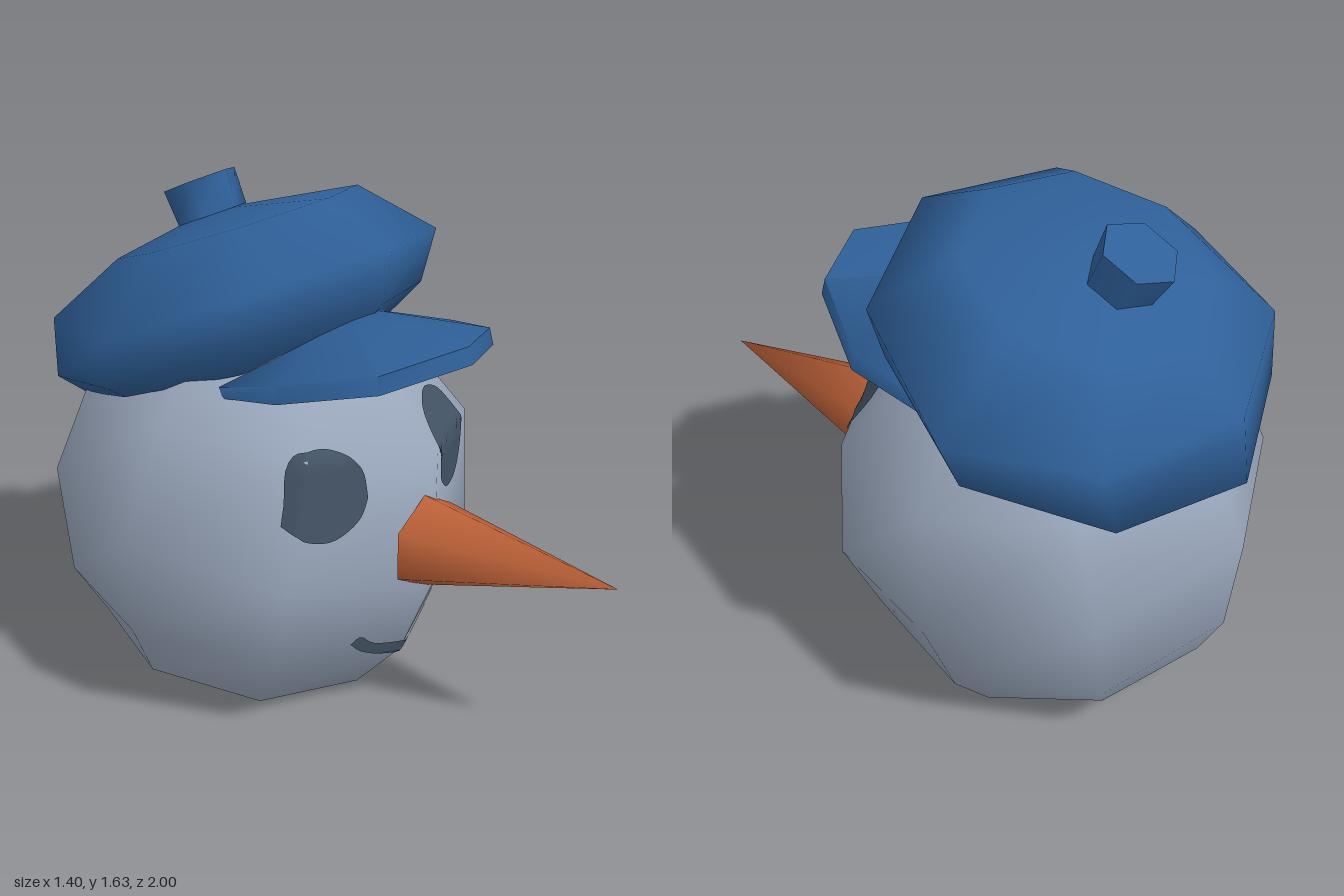
import * as THREE from 'three';
import { toCreasedNormals } from 'three/addons/utils/BufferGeometryUtils.js';

const V = (x, y, z) => new THREE.Vector3(x, y, z);

function material(name, color) {
  const m = new THREE.MeshStandardMaterial({ color, side: THREE.DoubleSide });
  m.name = name;
  return m;
}

// Skin over rows of points; closed rows wrap around.
function skin(rows, closed, crease = Math.PI) {
  const n = rows[0].length, index = [];
  for (let i = 0; i < rows.length - 1; i++) {
    for (let j = 0; j < (closed ? n : n - 1); j++) {
      const k = (j + 1) % n;
      const a = i * n + j, b = i * n + k, c = b + n, d = a + n;
      index.push(a, b, c, a, c, d);
    }
  }
  const g = new THREE.BufferGeometry().setFromPoints(rows.flat());
  g.setIndex(index);
  return toCreasedNormals(g, crease);
}

// Tilted ring, described by its front and back points [y, z] and half width.
function ring(sides, cx, rx, front, back, roll = 0, sag = 0) {
  return Array.from({ length: sides }, (_, i) => {
    const a = i / sides * Math.PI * 2, s = Math.sin(a), t = (1 + Math.cos(a)) / 2;
    return V(cx + rx * s,
      THREE.MathUtils.lerp(back[0], front[0], t) + roll * s - sag * s ** 4,
      THREE.MathUtils.lerp(back[1], front[1], t));
  });
}

const point = (n, x, y, z) => Array.from({ length: n }, () => V(x, y, z));

// Painted shape between two outlines, laid on both faces of a surface.
function decal(target, top, bottom) {
  const [up, low] = [top, bottom].map(
    pts => new THREE.SplineCurve(pts.map(p => new THREE.Vector2(...p))).getPoints(28));
  const caster = new THREE.Raycaster();
  return [0.006, -0.006].map(offset => {
    const rows = [];
    for (let r = 0; r <= 10; r++) {
      rows.push(low.map((p, i) => {
        const q = p.clone().lerp(up[i], r / 10);
        caster.set(V(q.x, q.y, 3), V(0, 0, -1));
        const hit = caster.intersectObject(target)[0];
        return hit.point.clone().addScaledVector(hit.face.normal, offset);
      }));
    }
    return skin(rows, false);
  });
}

export function createModel() {
  const model = new THREE.Group();
  const grey = material('blue grey', 0x9ba8bd);
  const dark = material('dark slate', 0x435365);
  const blue = material('cap blue', 0x2f6099);
  const orange = material('carrot orange', 0xbf6239);
  const add = (name, geometry, mat) => {
    const mesh = new THREE.Mesh(geometry, mat);
    mesh.name = name;
    model.add(mesh);
    return mesh;
  };

  // Hollow head, open underneath
  const head = add('head', skin([
    ring(8, -0.04, 0.48, [0, 0.07], [0.18, -0.87], -0.015),
    ring(8, -0.065, 0.6, [0.2, 0.26], [0.31, -0.94], -0.08),
    ring(8, -0.015, 0.685, [0.45, 0.35], [0.68, -1], -0.085),
    ring(8, 0.025, 0.6, [0.87, 0.33], [1.0, -0.89], -0.075),
    ring(8, 0.03, 0.38, [1.14, 0.08], [1.24, -0.58], -0.04),
    point(8, 0.04, 1.27, -0.24),
  ], true), grey);
  head.updateMatrixWorld();

  // Eyes and mouth
  const marks = {
    rightEye: [
      [[-0.47, 0.75], [-0.455, 0.81], [-0.42, 0.945], [-0.35, 0.965], [-0.28, 0.94], [-0.23, 0.88], [-0.22, 0.79]],
      [[-0.47, 0.75], [-0.44, 0.705], [-0.37, 0.68], [-0.31, 0.69], [-0.25, 0.73], [-0.22, 0.79]]],
    leftEye: [
      [[0.05, 0.83], [0.055, 0.9], [0.1, 0.96], [0.17, 0.985], [0.24, 0.98], [0.32, 0.94], [0.37, 0.85]],
      [[0.05, 0.83], [0.055, 0.77], [0.13, 0.71], [0.22, 0.69], [0.3, 0.71], [0.35, 0.77], [0.37, 0.85]]],
    mouth: [
      [[-0.25, 0.28], [-0.22, 0.3], [-0.16, 0.257], [-0.03, 0.235], [0.09, 0.255], [0.17, 0.3], [0.2, 0.285]],
      [[-0.25, 0.28], [-0.2, 0.235], [-0.11, 0.2], [-0.02, 0.185], [0.09, 0.2], [0.17, 0.24], [0.2, 0.285]]],
  };
  for (const [name, [top, bottom]] of Object.entries(marks)) {
    decal(head, top, bottom).forEach((g, i) => add(name + (i ? 'Inside' : ''), g, dark));
  }

  // Six-sided carrot nose
  const noseBase = Array.from({ length: 6 }, (_, i) => {
    const a = Math.PI / 6 + i * Math.PI / 3;
    return V(-0.027 + 0.165 * Math.cos(a), 0.59 + 0.156 * Math.sin(a), 0.32);
  });
  add('nose', skin([noseBase, point(6, -0.02, 0.63, 1)], true), orange);

  // Slouched cap crown
  add('capCrown', skin([
    ring(8, 0, 0.53, [1.17, 0], [0.88, -0.9], -0.025),
    ring(8, 0.01, 0.63, [1.32, 0.13], [0.94, -1], -0.02, 0.04),
    ring(8, 0.02, 0.68, [1.5, 0.155], [1.17, -0.975], -0.02, 0.09),
    ring(8, 0.02, 0.42, [1.61, -0.09], [1.34, -0.8], 0.0),
    point(8, 0.03, 1.49, -0.57),
  ], true), blue);

  // Button on top
  add('capButton', skin([
    ring(6, 0.03, 0.125, [1.52, -0.46], [1.43, -0.66]),
    ring(6, 0.03, 0.125, [1.635, -0.5], [1.53, -0.725]),
    point(6, 0.03, 1.583, -0.612),
  ], true, 1.2), blue);

  // Visor: lower and upper rim closed to a middle point on each face
  const rim = [
    [-0.42, 1.075, -0.2], [-0.42, 1.11, 0.05], [-0.3, 1.17, 0.34], [-0.02, 1.21, 0.475],
    [0.23, 1.18, 0.39], [0.41, 1.1, 0.13], [0.44, 1.065, -0.2]];
  add('capVisor', skin([
    point(7, 0, 1.16, 0.05),
    rim.map(p => V(...p)),
    rim.map(([x, y, z]) => V(x * 0.98, y + (z < 0 ? 0.03 : 0.055), z * 0.97)),
    point(7, 0, 1.29, 0),
  ], true, 1.2), blue);

  return model;
}
